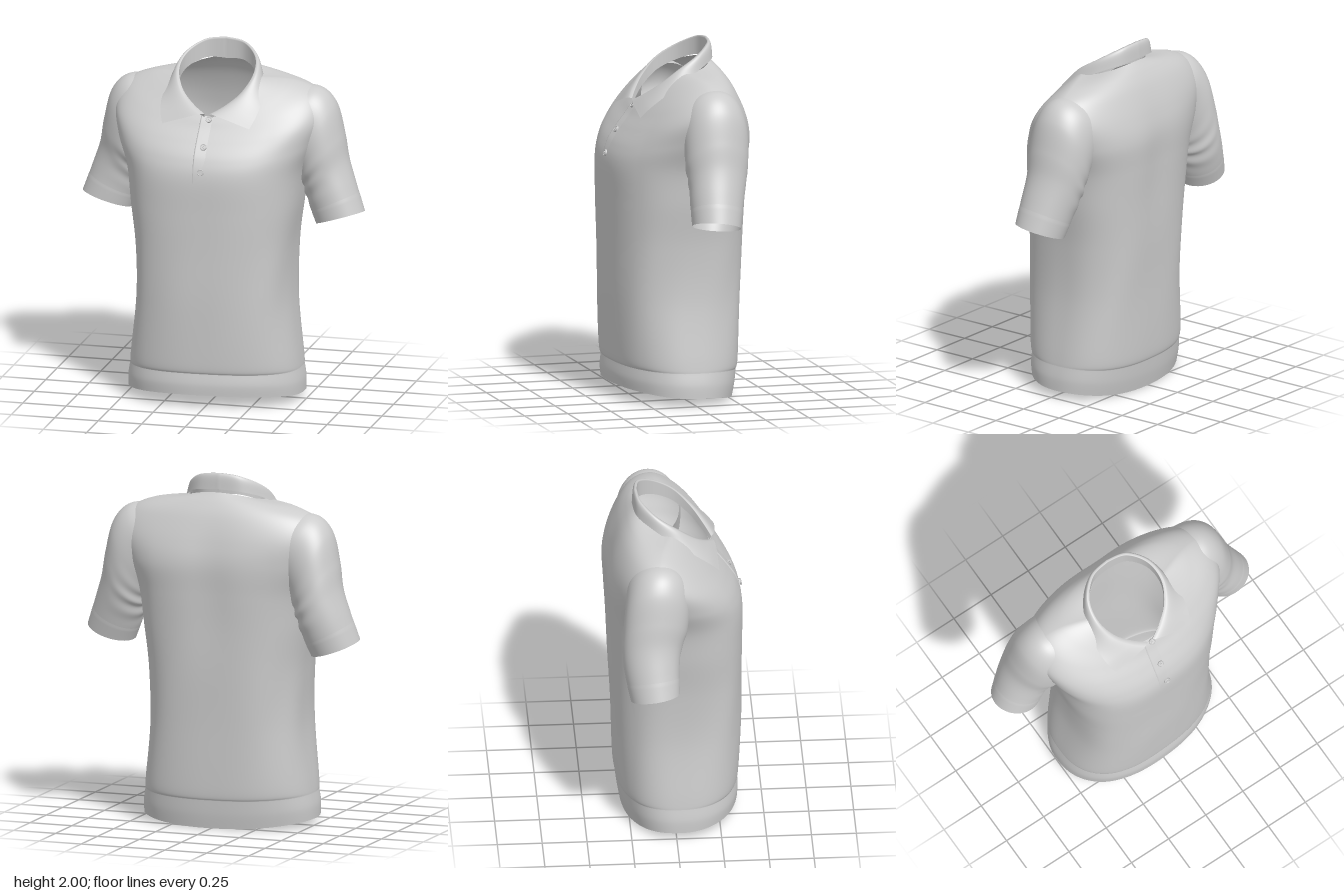
import * as THREE from 'three';

const fabric = new THREE.MeshStandardMaterial({ color: 0xcccccc, side: THREE.DoubleSide, roughness: 0.8 });

// Smooth interpolation through rows of numbers, t from 0 to 1
function spline(rows) {
  const n = rows.length - 1;
  return t => {
    const f = Math.min(Math.max(t, 0), 1) * n, i = Math.min(Math.floor(f), n - 1), s = f - i;
    const a = rows[Math.max(i - 1, 0)], b = rows[i], c = rows[i + 1], d = rows[Math.min(i + 2, n)];
    return b.map((_, k) => b[k] + 0.5 * s * (c[k] - a[k] + s * (2 * a[k] - 5 * b[k] + 4 * c[k] - d[k]
      + s * (3 * (b[k] - c[k]) + d[k] - a[k]))));
  };
}

// Surface from a point rule fn(u, v); "closed" wraps u round
function loft(name, fn, nu, nv, closed = true) {
  const pos = [], idx = [], cols = closed ? nu : nu + 1;
  for (let j = 0; j <= nv; j++)
    for (let i = 0; i < cols; i++) pos.push(...fn(i / nu, j / nv));
  for (let j = 0; j < nv; j++)
    for (let i = 0; i < nu; i++) {
      const k = (i + 1) % cols, a = j * cols + i, b = j * cols + k, c = a + cols, d = b + cols;
      idx.push(a, c, b, b, c, d);
    }
  const g = new THREE.BufferGeometry();
  g.setAttribute('position', new THREE.Float32BufferAttribute(pos, 3));
  g.setIndex(idx);
  g.computeVertexNormals();
  const mesh = new THREE.Mesh(g, fabric);
  mesh.name = name;
  return mesh;
}

const spow = (v, p) => Math.sign(v) * Math.pow(Math.abs(v), p);
const bump = (v, w) => Math.exp(-(v * v) / (w * w));

// Torso rings: front y, side y, back y, half width, front z, back z, side z, roundness
const torsoRings = spline([
  [0.20, 0.185, 0.165, 0.480, 0.350, -0.312, 0.00, 2.5],
  [0.26, 0.25, 0.23, 0.474, 0.362, -0.323, 0.00, 2.6],
  [0.58, 0.58, 0.58, 0.437, 0.376, -0.335, 0.00, 2.8],
  [0.88, 0.88, 0.88, 0.442, 0.380, -0.350, 0.00, 2.8],
  [1.12, 1.12, 1.12, 0.472, 0.384, -0.362, -0.01, 2.7],
  [1.32, 1.33, 1.33, 0.500, 0.384, -0.375, -0.03, 2.6],
  [1.43, 1.50, 1.50, 0.565, 0.355, -0.380, -0.07, 2.4],
  [1.52, 1.65, 1.63, 0.600, 0.300, -0.353, -0.09, 2.25],
  [1.585, 1.76, 1.76, 0.545, 0.252, -0.303, -0.09, 2.1],
  [1.625, 1.82, 1.84, 0.410, 0.226, -0.254, -0.07, 2.0],
  [1.65, 1.84, 1.89, 0.230, 0.205, -0.206, -0.01, 2.0],
]);
const waistRings = spline([
  [0.08, 0.045, 0.005, 0.495, 0.358, -0.292, 0.00, 2.3],
  [0.14, 0.115, 0.085, 0.493, 0.360, -0.305, 0.00, 2.4],
  [0.20, 0.185, 0.165, 0.480, 0.350, -0.312, 0.00, 2.5],
]);

function ringPoint(r, angle) {
  const [yF, yS, yB, w, zF, zB, zS, n] = r, c = Math.cos(angle), s = Math.sin(angle);
  const y = yS + ((s > 0 ? yF : yB) - yS) * Math.pow(Math.abs(s), s > 0 ? 1.4 : 2);
  const low = THREE.MathUtils.smoothstep(1.75 - y, 0, 0.3);
  // shallow drape folds, fading out at the waist seam and over the chest
  const drape = 1 + 0.007 * bump(y - 0.65, 0.3) * Math.sin(7 * angle + 4 * y);
  const x = spow(c, 2 / n) * w * drape;
  let z = zS + spow(s, 2 / n) * Math.abs((s > 0 ? zF : zB) - zS) * drape;
  if (s < 0) z += 0.018 * bump(x, 0.13) * bump(y - 1.35, 0.35);
  z -= 0.05 * low * THREE.MathUtils.clamp(x, -0.35, 0.35);
  return [x - 0.01 * low, y, z];
}

// Sleeve rings: outer x y, inner x y, centre z, half depth
const sleeveRings = spline([
  [0.40, 1.785, 0.36, 1.45, -0.10, 0.165],
  [0.55, 1.778, 0.38, 1.38, -0.10, 0.178],
  [0.642, 1.69, 0.42, 1.30, -0.10, 0.182],
  [0.690, 1.52, 0.45, 1.24, -0.095, 0.177],
  [0.717, 1.38, 0.475, 1.18, -0.09, 0.163],
  [0.763, 1.24, 0.505, 1.10, -0.075, 0.15],
  [0.815, 1.09, 0.545, 1.005, -0.06, 0.135],
]);
function sleevePoint(side, t, u, scale = 1) {
  const [ox, oy, ix, iy, zc, hz] = sleeveRings(t), a = u * Math.PI * 2;
  // creases gathered under the arm
  const crease = 1 + 0.03 * bump(t - 0.6, 0.18) * Math.max(0, 0.3 - Math.cos(a)) * Math.sin(38 * t + 2 * Math.sin(a));
  const c = Math.cos(a) * 0.5 * scale * crease, s = Math.sin(a) * scale * crease * hz;
  const shift = side < 0 ? -0.07 * THREE.MathUtils.smoothstep(t, 0.15, 0.9) : 0;
  // the opening hangs lower at the back
  return [side * ((ox + ix) / 2 + (ox - ix) * c), (oy + iy) / 2 + (oy - iy) * c + 0.15 * t * t * s, zc + shift + s];
}

// Collar curves from centre back to front: fold line and lower edge
const foldLine = spline([[0, 2, -0.195], [0.11, 1.985, -0.175], [0.195, 1.93, -0.09], [0.213, 1.86, 0.02],
  [0.168, 1.775, 0.115], [0.09, 1.71, 0.18], [0.015, 1.668, 0.222]]);
const lowerEdge = spline([[0, 1.912, -0.222], [0.13, 1.9, -0.2], [0.225, 1.862, -0.11], [0.27, 1.8, 0],
  [0.285, 1.73, 0.11], [0.275, 1.665, 0.195], [0.25, 1.605, 0.252]]);
function collarPoint(u, v) {
  const side = u < 0.5 ? -1 : 1, t = Math.abs(u - 0.5) * 2;
  const f = foldLine(t), e = lowerEdge(t);
  let p;
  if (v < 0.4) {                       // inner stand, rising to the fold
    const k = 1 - v / 0.4;
    p = [f[0], f[1] - 0.12 * (1 - 0.8 * t) * k, f[2] - 0.008 * t * k];
  } else {                             // outer fall, gently bowed
    const k = (v - 0.4) / 0.6, bow = Math.sin(Math.PI * Math.sqrt(k)) * 0.013;
    p = f.map((q, i) => q + (e[i] - q) * k);
    p[0] += bow * Math.sin(Math.PI * t);
    p[1] += bow * 0.6;
    p[2] -= bow * Math.cos(Math.PI * t);
  }
  return [side * p[0] - 0.014, p[1], p[2]];
}

// Point on the chest at a given x and ring position
function chestPoint(x, t, lift) {
  const r = torsoRings(t);
  const p = ringPoint(r, Math.acos(spow((x + 0.01) / r[3], r[7] / 2)));
  return [p[0], p[1] + lift * 0.4, p[2] + lift];
}

// Ring position whose centre front lies at height y
function chestParam(y) {
  let lo = 0, hi = 1;
  for (let i = 0; i < 24; i++) {
    const m = (lo + hi) / 2;
    if (torsoRings(m)[0] < y) lo = m; else hi = m;
  }
  return lo;
}

function makeButton(y) {
  const button = new THREE.Group();
  button.name = 'button';
  const disc = new THREE.Mesh(new THREE.CylinderGeometry(0.018, 0.018, 0.008, 24), fabric);
  disc.rotation.x = Math.PI / 2;
  const rim = new THREE.Mesh(new THREE.TorusGeometry(0.016, 0.003, 8, 24), fabric);
  rim.position.z = 0.004;
  button.add(disc, rim);
  for (const turn of [-1, 1]) {
    const thread = new THREE.Mesh(new THREE.BoxGeometry(0.016, 0.003, 0.004), fabric);
    thread.rotation.z = turn * Math.PI / 4;
    thread.position.z = 0.005;
    button.add(thread);
  }
  const t = chestParam(y), a = chestPoint(-0.01, t - 0.01, 0), b = chestPoint(-0.01, t + 0.01, 0);
  button.position.set(...chestPoint(-0.01, t, 0.006));
  button.rotation.x = -Math.atan2(a[2] - b[2], b[1] - a[1]);
  return button;
}

export function createModel() {
  const shirt = new THREE.Group();
  shirt.name = 'poloShirt';
  const TAU = Math.PI * 2;

  shirt.add(loft('torso', (u, v) => ringPoint(torsoRings(v), u * TAU), 128, 100));
  shirt.add(loft('waistband', (u, v) => ringPoint(waistRings(v), u * TAU), 128, 16));

  // Sleeves, each ending in a slightly raised cuff
  for (const side of [1, -1]) {
    const label = side > 0 ? 'left' : 'right';
    shirt.add(loft(label + 'Sleeve', (u, v) => sleevePoint(side, v * 0.9, u), 64, 60));
    shirt.add(loft(label + 'Cuff', (u, v) => sleevePoint(side, 0.88 + 0.12 * v, u, 1 + 0.008 * Math.min(1, v * 6)), 64, 18));
  }

  shirt.add(loft('collar', collarPoint, 96, 30, false));

  // Placket: a raised overlap on one side that blends into the chest on the other
  const low = chestParam(1.31);
  shirt.add(loft('placket', (u, v) => {
    const lift = u < 0.03 ? -0.002 : 0.005 * Math.min(1, v * 4) * (1 - u) - 0.002 * u;
    return chestPoint(-0.06 + 0.095 * u, low + (1 - low) * v, lift);
  }, 20, 40, false));
  for (const y of [1.37, 1.5, 1.635]) shirt.add(makeButton(y));

  return shirt;
}
